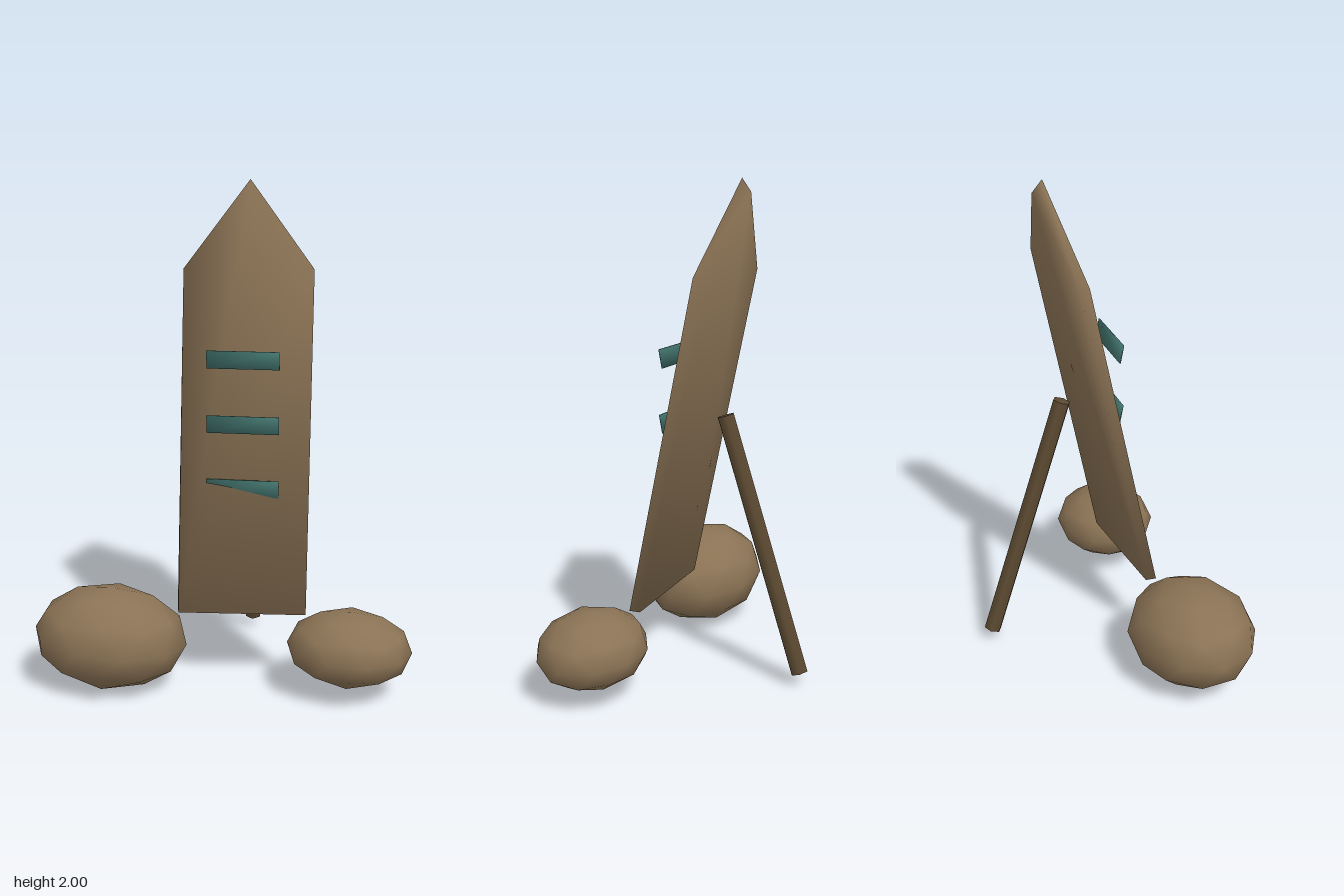
import * as THREE from 'three';
import { mergeVertices } from 'three/addons/utils/BufferGeometryUtils.js';

const mat = (name, color) => {
  const m = new THREE.MeshStandardMaterial({ color });
  m.name = name;
  return m;
};

// Each corner's normal is the plain average of the triangles that meet there
function softNormals(geo) {
  const pos = geo.attributes.position;
  const index = geo.index.array;
  const sums = Array.from({ length: pos.count }, () => new THREE.Vector3());
  const tri = new THREE.Triangle();
  const n = new THREE.Vector3();
  for (let i = 0; i < index.length; i += 3) {
    tri.setFromAttributeAndIndices(pos, index[i], index[i + 1], index[i + 2]);
    tri.getNormal(n);
    for (let k = 0; k < 3; k++) sums[index[i + k]].add(n);
  }
  const normals = sums.flatMap((v) => v.normalize().toArray());
  geo.setAttribute('normal', new THREE.Float32BufferAttribute(normals, 3));
  return geo;
}

// Closed plate between two loops, counter-clockwise as seen from the front
function plate(front, back) {
  const n = front.length;
  const index = [];
  for (let i = 1; i < n - 1; i++) {
    index.push(0, i, i + 1, n, n + i + 1, n + i);
  }
  for (let i = 0; i < n; i++) {
    const j = (i + 1) % n;
    index.push(i, n + i, n + j, i, n + j, j);
  }
  const geo = new THREE.BufferGeometry();
  geo.setAttribute('position', new THREE.Float32BufferAttribute([...front, ...back].flat(), 3));
  geo.setIndex(index);
  return softNormals(geo);
}

// Coarse rounded stone with a pole on top and a ten-sided waist
function stone(radii, tilt) {
  const geo = new THREE.IcosahedronGeometry(1, 1);
  geo.deleteAttribute('uv');
  geo.deleteAttribute('normal');
  const merged = mergeVertices(geo, 1e-3);
  merged.rotateZ(-Math.atan(2 / (1 + Math.sqrt(5))));
  merged.rotateY(Math.PI / 2);
  merged.scale(...radii);
  merged.rotateZ(tilt);
  return softNormals(merged);
}

export function createModel() {
  const group = new THREE.Group();
  const wood = mat('wood', 0x8b7355);
  const darkWood = mat('dark wood', 0x5c4a32);
  const teal = mat('teal paint', 0x40706a);
  const add = (name, geo, material) => {
    const mesh = new THREE.Mesh(geo, material);
    mesh.name = name;
    group.add(mesh);
    return mesh;
  };

  // Leaning pointed board, slightly twisted
  add('board', plate(
    [[-0.18, 0.3, 0.2], [0.33, 0.3, 0.17], [0.33, 1.65, -0.12], [0.065, 2, -0.19], [-0.195, 1.65, -0.1]],
    [[-0.19, 0.31, 0.15], [0.325, 0.3, 0.125], [0.3, 1.65, -0.165], [0.07, 1.95, -0.23], [-0.195, 1.63, -0.135]],
  ), wood);

  // Three painted marks standing off the board, the lowest partly sunk in it
  for (const y of [0.755, 1.015, 1.275]) {
    const front = [[-0.08, y, 0.071], [0.21, y, 0.081], [0.21, y + 0.073, 0.095], [-0.08, y + 0.073, 0.085]];
    add('mark', plate(front, front.map(([x, h, z]) => [x, h, z - 0.005])), teal);
  }

  // Rear prop
  const top = new THREE.Vector3(0.065, 1.08, -0.125);
  const foot = new THREE.Vector3(0.057, 0.055, -0.455);
  const axis = top.clone().sub(foot);
  const prop = add('prop', new THREE.CylinderGeometry(0.037, 0.037, axis.length(), 6), darkWood);
  prop.position.copy(top).add(foot).multiplyScalar(0.5);
  prop.quaternion.setFromUnitVectors(new THREE.Vector3(0, 1, 0), axis.normalize());

  // Stones either side of the foot
  add('largeStone', stone([0.31, 0.205, 0.255], -0.08), wood).position.set(-0.45, 0.206, 0.243);
  add('smallStone', stone([0.247, 0.148, 0.216], -0.05), wood).position.set(0.508, 0.198, 0.235);

  return group;
}
